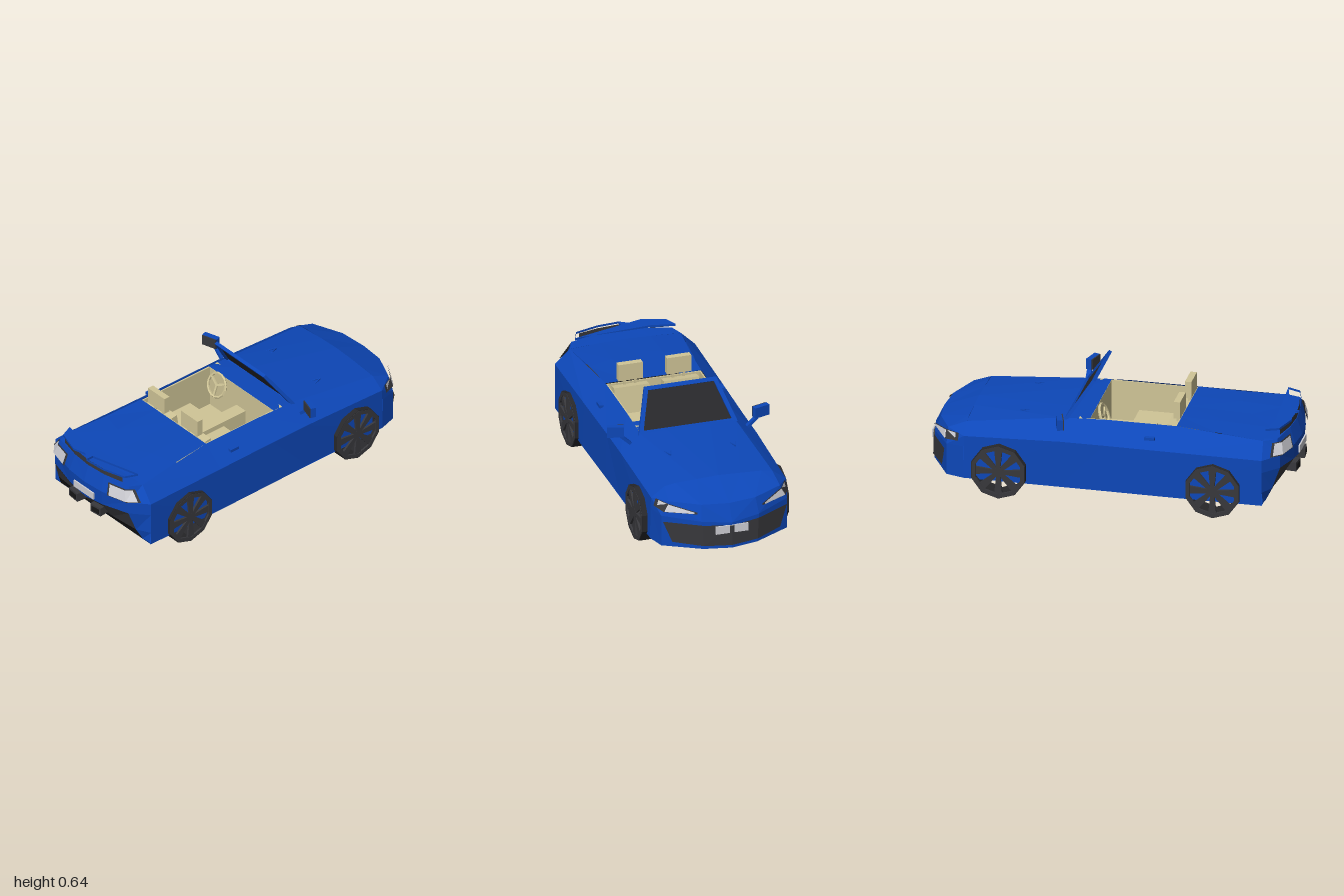
import * as THREE from 'three';

const mat = (name, color) => {
  const m = new THREE.MeshStandardMaterial({ color, flatShading: true, side: THREE.DoubleSide });
  m.name = name;
  return m;
};

export function createModel() {
  const blue = mat('blue paint', 0x0d47b8);
  const charcoal = mat('charcoal trim', 0x38383c);
  const tyre = mat('tyre rubber', 0x28282b);
  const black = mat('black diffuser', 0x171717);
  const cream = mat('cream interior', 0xd0c597);
  const silver = mat('pale silver', 0xd0d0d6);

  const car = new THREE.Group();
  car.name = 'convertible';

  const add = (name, geo, material, x = 0, y = 0, z = 0) => {
    const mesh = new THREE.Mesh(geo, material);
    mesh.name = name;
    mesh.position.set(x, y, z);
    car.add(mesh);
    return mesh;
  };
  const box = (name, material, w, h, d, x, y, z) => add(name, new THREE.BoxGeometry(w, h, d), material, x, y, z);

  // Surface through rows of points, optionally turned over to the other side
  const sheet = (name, rows, material, side = 1) => {
    const pos = [], idx = [], n = rows[0].length;
    rows.forEach(r => r.forEach(([x, y, z]) => pos.push(x * side, y, z)));
    for (let i = 0; i < rows.length - 1; i++) for (let j = 0; j < n - 1; j++) {
      const a = i * n + j, b = a + 1, c = a + n, d = c + 1;
      if (side > 0) idx.push(a, b, c, b, d, c);
      else idx.push(a, c, b, b, c, d);
    }
    const g = new THREE.BufferGeometry();
    g.setAttribute('position', new THREE.Float32BufferAttribute(pos, 3));
    g.setIndex(idx);
    g.computeVertexNormals();
    return add(name, g, material);
  };
  const both = (name, rows, material) => [1, -1].forEach(s => sheet(name, rows, material, s));
  // Shrinks a panel about its middle and lifts it in z
  const inset = (rows, k, dz) => {
    const all = rows.flat();
    const c = [0, 1, 2].map(i => all.reduce((s, p) => s + p[i], 0) / all.length);
    return rows.map(r => r.map(p => p.map((v, i) => c[i] + (v - c[i]) * k + (i === 2 ? dz : 0))));
  };

  // Body sides: sill, crease and shoulder at stations from tail to nose
  both('bodySide', [
    [[0.39, 0.09, 0.86], [0.39, 0.35, 0.86], [0.31, 0.43, 0.85]],
    [[0.39, 0.09, 0.37], [0.385, 0.35, 0.37], [0.265, 0.45, 0.37]],
    [[0.385, 0.09, 0], [0.38, 0.35, 0], [0.265, 0.45, 0]],
    [[0.38, 0.09, -0.24], [0.38, 0.35, -0.24], [0.265, 0.44, -0.24]],
    [[0.38, 0.09, -0.76], [0.375, 0.33, -0.76], [0.3, 0.385, -0.76]],
  ], blue);

  // Nose: rows from the splitter up to the hood
  both('nose', [
    [[0.38, 0.09, -0.76], [0.35, 0.09, -0.86], [0.15, 0.09, -0.97], [0, 0.09, -1]],
    [[0.378, 0.27, -0.76], [0.35, 0.265, -0.86], [0.16, 0.25, -0.965], [0, 0.235, -0.995]],
    [[0.375, 0.33, -0.76], [0.31, 0.345, -0.86], [0.15, 0.335, -0.935], [0, 0.33, -0.95]],
    [[0.3, 0.385, -0.76], [0.24, 0.395, -0.76], [0.12, 0.4, -0.76], [0, 0.405, -0.76]],
  ], blue);
  both('hood', [
    [[0.3, 0.385, -0.76], [0.12, 0.4, -0.76], [0, 0.405, -0.76]],
    [[0.265, 0.44, -0.24], [0.12, 0.445, -0.24], [0, 0.445, -0.24]],
    [[0.265, 0.447, -0.1], [0.12, 0.447, -0.1], [0, 0.447, -0.1]],
  ], blue);
  both('rearDeck', [
    [[0.265, 0.45, 0.37], [0.14, 0.45, 0.37], [0, 0.45, 0.37]],
    [[0.28, 0.44, 0.6], [0.14, 0.445, 0.64], [0, 0.44, 0.72]],
    [[0.31, 0.43, 0.85], [0.14, 0.435, 0.86], [0, 0.435, 0.87]],
  ], blue);

  // Tail: rows from the bumper's foot up to the deck
  const tail = [
    [[0.39, 0.09, 0.86], [0.34, 0.09, 0.86], [0.14, 0.09, 0.86], [0, 0.09, 0.86]],
    [[0.385, 0.105, 0.865], [0.335, 0.102, 0.87], [0.14, 0.104, 0.872], [0, 0.105, 0.873]],
    [[0.39, 0.165, 0.86], [0.315, 0.165, 0.9], [0.14, 0.165, 0.915], [0, 0.165, 0.92]],
    [[0.39, 0.28, 0.86], [0.3, 0.28, 0.94], [0.13, 0.262, 0.975], [0, 0.25, 0.985]],
    [[0.39, 0.35, 0.86], [0.3, 0.352, 0.94], [0.13, 0.35, 0.983], [0, 0.35, 0.993]],
    [[0.31, 0.43, 0.85], [0.28, 0.435, 0.92], [0.12, 0.44, 0.955], [0, 0.44, 0.965]],
    [[0.31, 0.43, 0.85], [0.28, 0.433, 0.85], [0.14, 0.435, 0.86], [0, 0.435, 0.87]],
  ];
  both('tailCorner', tail.map(r => r.slice(0, 2)), blue);
  both('bumperLip', tail.slice(0, 2).map(r => r.slice(1)), blue);
  both('diffuser', tail.slice(1, 3).map(r => r.slice(1)), black);
  both('rearPanel', tail.slice(2, 4).map(r => r.slice(1)), charcoal);
  both('tailPanel', tail.slice(3).map(r => r.slice(1)), blue);

  // Flat underside
  const half = [[0.39, 0.86], [0.38, -0.76], [0.35, -0.86], [0.15, -0.97], [0, -1]];
  const outline = [...half, ...half.slice(0, 4).reverse().map(([x, z]) => [-x, z])];
  const floor = new THREE.ShapeGeometry(new THREE.Shape(outline.map(p => new THREE.Vector2(...p))));
  add('underside', floor.rotateX(Math.PI / 2), blue, 0, 0.09, 0);

  // Grille, headlamps and tail lamps as thin panels
  both('grille', [
    [[0.345, 0.235, -0.873], [0.155, 0.23, -0.974], [0, 0.22, -1]],
    [[0.3, 0.12, -0.896], [0.15, 0.11, -0.977], [0, 0.105, -1]],
  ], charcoal);
  box('frontPlate', silver, 0.18, 0.045, 0.008, 0, 0.2, -0.994);
  const headlamp = [
    [[0.36, 0.338, -0.788], [0.315, 0.335, -0.866], [0.18, 0.305, -0.958]],
    [[0.372, 0.298, -0.79], [0.34, 0.29, -0.866], [0.18, 0.295, -0.96]],
  ];
  both('headlampFrame', inset(headlamp, 1, -0.003), charcoal);
  both('headlamp', inset(headlamp, 0.86, -0.01), silver);
  const tailLamp = [
    [[0.165, 0.422, 0.957], [0.275, 0.422, 0.93], [0.305, 0.42, 0.89]],
    [[0.175, 0.35, 0.975], [0.3, 0.352, 0.942], [0.355, 0.357, 0.89]],
  ];
  both('tailLampFrame', inset(tailLamp, 1, 0.008), charcoal);
  both('tailLamp', inset(tailLamp, 0.86, 0.014), silver);
  box('rearPlate', silver, 0.16, 0.04, 0.008, 0, 0.297, 0.994);

  // Spoiler blade with a dark slot beneath it
  const blade = [[0.28, 0.855], [0.25, 0.925], [0.12, 0.965], [0, 0.975]];
  const inner = [[0, 0.89], [0.15, 0.88]];
  const plan = [...blade, ...inner, ...inner.slice(1).map(([x, z]) => [-x, z]),
    ...blade.slice(0, 3).map(([x, z]) => [-x, z])];
  const bladeGeo = new THREE.ExtrudeGeometry(new THREE.Shape(plan.map(p => new THREE.Vector2(...p))),
    { depth: 0.012, bevelEnabled: false });
  add('spoiler', bladeGeo.rotateX(Math.PI / 2), blue, 0, 0.487, 0);
  both('spoilerSlot', [0.476, 0.442].map(y => [[0.235, y, 0.925], [0.12, y, 0.953], [0, y, 0.963]]), charcoal);

  // Windscreen: four bars around dark glass, leaning back
  const w0 = [0.275, 0.435, -0.24], w1 = [0.2, 0.645, -0.1];
  const screen = new THREE.Shape([[-0.275, 0], [0.275, 0], [0.2, 0.252], [-0.2, 0.252]].map(p => new THREE.Vector2(...p)));
  screen.holes.push(new THREE.Path([[-0.245, 0.02], [-0.183, 0.23], [0.183, 0.23], [0.245, 0.02]].map(p => new THREE.Vector2(...p))));
  const lean = Math.atan2(w1[2] - w0[2], w1[1] - w0[1]);
  add('windscreenFrame', new THREE.ExtrudeGeometry(screen, { depth: 0.018, bevelEnabled: false }), blue,
    0, w0[1], w0[2]).rotation.x = lean;
  const glass = new THREE.ShapeGeometry(new THREE.Shape(screen.holes[0].getPoints()));
  add('windscreenGlass', glass.translate(0, 0, 0.009), tyre, 0, w0[1], w0[2]).rotation.x = lean;

  // Cabin tub
  box('cabinFloor', cream, 0.54, 0.01, 0.5, 0, 0.2, 0.12);
  box('dashboard', cream, 0.53, 0.24, 0.06, 0, 0.325, -0.13);
  box('cabinBackWall', cream, 0.53, 0.245, 0.008, 0, 0.323, 0.366);
  box('centreTunnel', cream, 0.075, 0.12, 0.32, 0, 0.26, 0.04);

  // Parts that repeat on both sides
  for (const s of [1, -1]) {
    box('cabinSideWall', cream, 0.008, 0.245, 0.48, s * 0.26, 0.323, 0.13);
    box('seatCushion', cream, 0.195, 0.09, 0.25, s * 0.138, 0.25, 0.18);
    box('seatBack', cream, 0.195, 0.23, 0.05, s * 0.138, 0.325, 0.32).rotation.x = 0.15;
    box('headrest', cream, 0.135, 0.095, 0.035, s * 0.135, 0.513, 0.358);
    for (const dx of [-0.03, 0.03])
      box('headrestPost', cream, 0.012, 0.06, 0.012, s * 0.135 + dx, 0.45, 0.355);

    const mirror = box('mirrorHousing', blue, 0.09, 0.06, 0.03, s * 0.405, 0.475, -0.235);
    const face = box('mirrorFace', charcoal, 0.086, 0.058, 0.006, s * 0.4, 0.475, -0.218);
    mirror.rotation.y = face.rotation.y = -s * 0.3;
    box('mirrorStalk', blue, 0.075, 0.016, 0.025, s * 0.353, 0.425, -0.245).rotation.z = s * 0.75;

    box('doorHandle', blue, 0.022, 0.016, 0.055, s * 0.338, 0.397, 0.24);
    for (const d of [-1, 1])
      box('hoodVent', blue, 0.006, 0.008, 0.065, s * 0.18 + d * 0.01, 0.423, -0.465).rotation.set(0.09, d * 0.3, 0);
    box('exhaustSurround', charcoal, 0.075, 0.05, 0.06, s * 0.088, 0.213, 0.962).rotation.y = s * 0.1;
    box('exhaustMouth', black, 0.05, 0.028, 0.006, s * 0.091, 0.213, 0.992).rotation.y = s * 0.1;
  }

  // Steering wheel
  const wheelGroup = new THREE.Group();
  wheelGroup.name = 'steeringWheel';
  wheelGroup.position.set(-0.14, 0.415, -0.05);
  wheelGroup.rotation.x = -0.35;
  wheelGroup.add(new THREE.Mesh(new THREE.TorusGeometry(0.066, 0.008, 5, 14), cream));
  for (let i = 0; i < 3; i++) {
    const spoke = new THREE.Mesh(new THREE.BoxGeometry(0.012, 0.064, 0.008).translate(0, 0.032, 0), cream);
    spoke.rotation.z = Math.PI / 3 + i * Math.PI * 2 / 3;
    wheelGroup.add(spoke);
  }
  wheelGroup.children.forEach((m, i) => { m.name = i ? 'steeringSpoke' : 'steeringRim'; });
  car.add(wheelGroup);

  // Open ten-sided wheels with tapered spokes
  const ring = (r0, r1, a, b) => new THREE.LatheGeometry(
    [[r0, a], [r1, a], [r1, b], [r0, b], [r0, a]].map(p => new THREE.Vector2(...p)), 10);
  const spokeShape = new THREE.Shape([[-0.01, 0.015], [0.01, 0.015], [0.022, 0.13], [-0.022, 0.13]].map(p => new THREE.Vector2(...p)));
  const spokeGeo = new THREE.ExtrudeGeometry(spokeShape, { depth: 0.012, bevelEnabled: false });
  for (const s of [1, -1]) for (const z of [0.595, -0.567]) {
    const wheel = new THREE.Group();
    wheel.name = 'wheel';
    wheel.position.set(s * 0.355, 0.153, z);
    wheel.rotation.y = s * Math.PI / 2;
    const part = (name, geo, material) => {
      const m = new THREE.Mesh(geo, material);
      m.name = name;
      wheel.add(m);
      return m;
    };
    part('tyre', ring(0.132, 0.153, -0.055, 0.053).rotateX(Math.PI / 2), tyre);
    part('rim', ring(0.127, 0.15, 0.045, 0.055).rotateX(Math.PI / 2), charcoal);
    part('hub', new THREE.CylinderGeometry(0.026, 0.026, 0.03, 10).rotateX(Math.PI / 2), charcoal).position.z = 0.038;
    for (let i = 0; i < 8; i++) {
      const spoke = part('spoke', spokeGeo, charcoal);
      spoke.position.z = 0.04;
      spoke.rotation.z = i * Math.PI / 4;
    }
    car.add(wheel);
  }
  return car;
}
